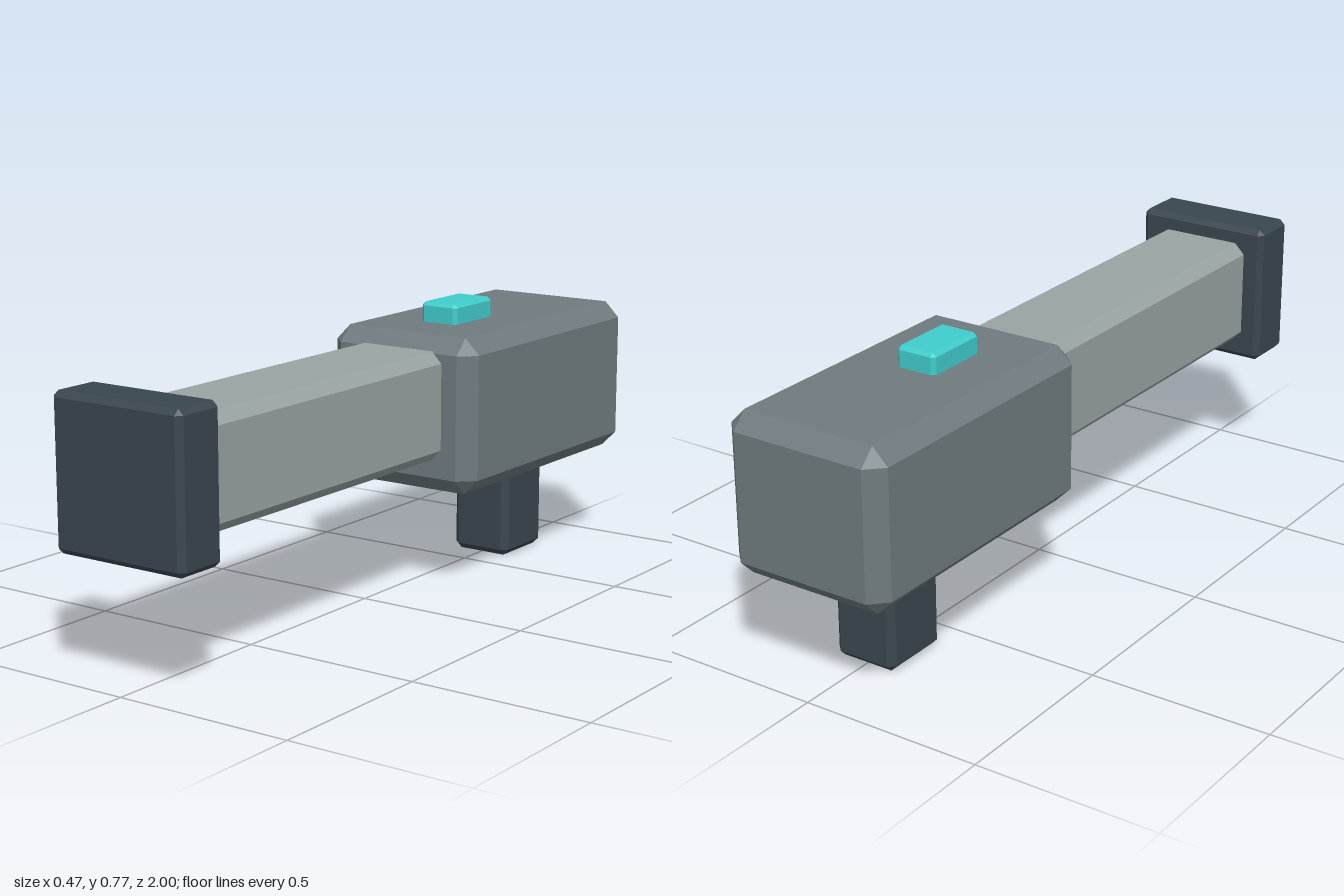
import * as THREE from 'three';
import { ConvexGeometry } from 'three/addons/geometries/ConvexGeometry.js';

const material = (name, color) => {
  const m = new THREE.MeshStandardMaterial({ color });
  m.name = name;
  return m;
};

// Box with bevelled edges and corners, given as [min, max] per axis
function bevelBox(name, x, y, z, c, mat) {
  const ranges = [x, y, z];
  const half = ranges.map(([a, b]) => (b - a) / 2);
  const points = [];
  for (const sx of [-1, 1]) for (const sy of [-1, 1]) for (const sz of [-1, 1]) {
    const s = [sx, sy, sz];
    for (let axis = 0; axis < 3; axis++) {
      // the corner of the face on this axis, pulled in along the other two
      points.push(new THREE.Vector3(...s.map((v, i) => v * (half[i] - (i === axis ? 0 : c)))));
    }
  }
  const mesh = new THREE.Mesh(new ConvexGeometry(points), mat);
  mesh.name = name;
  mesh.position.set(...ranges.map(([a, b]) => (a + b) / 2));
  return mesh;
}

export function createModel() {
  const group = new THREE.Group();
  group.name = 'blaster';
  const grey = material('mid grey', 0x6f7b7f);
  const light = material('light grey', 0x98a3a2);
  const dark = material('dark slate', 0x3a464f);
  const cyan = material('cyan', 0x40cccc);

  group.add(
    bevelBox('body', [-0.235, 0.235], [0.281, 0.714], [-1, -0.155], 0.044, grey),
    bevelBox('barrel', [-0.143, 0.143], [0.375, 0.675], [-0.22, 0.9], 0.03, light),
    bevelBox('muzzle', [-0.2, 0.2], [0.323, 0.724], [0.848, 1], 0.015, dark),
    bevelBox('grip', [-0.091, 0.091], [0, 0.32], [-0.78, -0.578], 0.018, dark),
    bevelBox('topLight', [-0.058, 0.058], [0.69, 0.77], [-0.542, -0.352], 0.01, cyan),
  );
  return group;
}
